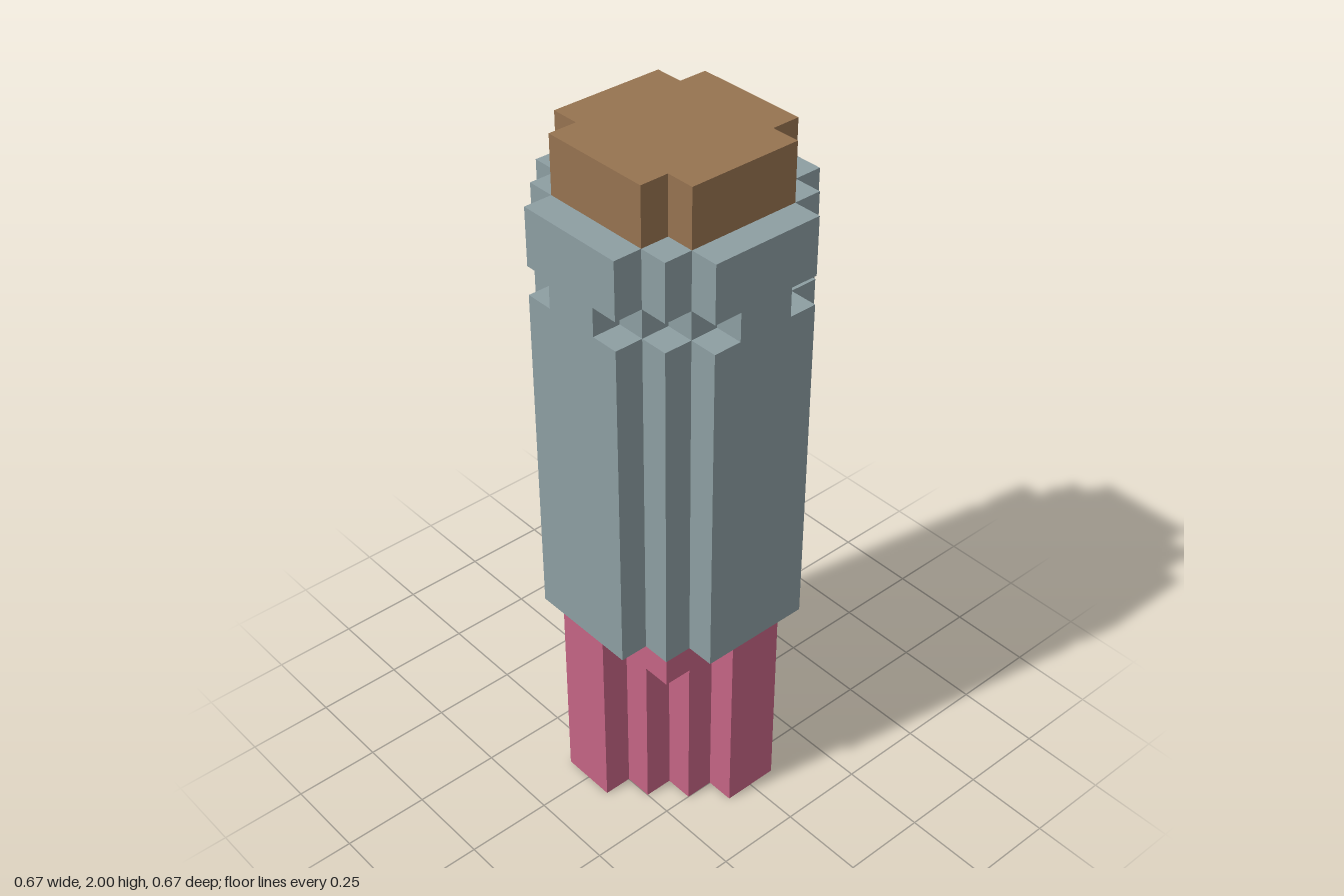
import * as THREE from 'three';

const U = 1 / 12; // one block

// Corner outlines in blocks, from the +x side round to the next side
const PLUS = [[4, 2], [3, 2], [3, 3], [2, 3], [2, 4]];
const STEPPED = [[4, 1], [3, 1], [3, 2], [2, 2], [2, 3], [1, 3], [1, 4]];
const SMALL = [[3, 2], [2, 2], [2, 3]];

// Upright prism: the corner outline repeated by four quarter turns
function prism(name, corner, bottom, top, material) {
  const points = [];
  let quarter = corner;
  for (let i = 0; i < 4; i++) {
    points.push(...quarter.map(([x, y]) => new THREE.Vector2(x * U, y * U)));
    quarter = quarter.map(([x, y]) => [-y, x]);
  }
  const geometry = new THREE.ExtrudeGeometry(new THREE.Shape(points), {
    depth: (top - bottom) * U, bevelEnabled: false,
  });
  geometry.rotateX(-Math.PI / 2);
  geometry.translate(0, bottom * U, 0);
  const mesh = new THREE.Mesh(geometry, material);
  mesh.name = name;
  return mesh;
}

export function createModel() {
  const pink = new THREE.MeshStandardMaterial({ name: 'pink', color: 0xc46484 });
  const grey = new THREE.MeshStandardMaterial({ name: 'blueGrey', color: 0x8d9ea2 });
  const brown = new THREE.MeshStandardMaterial({ name: 'brown', color: 0x967350 });

  const model = new THREE.Group();
  model.name = 'blockCylinder';
  model.add(
    prism('base', STEPPED, 0, 7, pink),
    prism('lowerSleeve', PLUS, 7, 19, grey),
    prism('grooveCore', STEPPED, 19, 20, grey),
    prism('upperSleeve', PLUS, 20, 22, grey),
    prism('cap', SMALL, 22, 24, brown),
  );

  // Single blocks under the sleeve at the two front corners
  for (const side of [-1, 1]) {
    const tab = new THREE.Mesh(new THREE.BoxGeometry(U, U, U), pink);
    tab.name = side > 0 ? 'leftFrontTab' : 'rightFrontTab';
    tab.position.set(side * 2.5 * U, 6.5 * U, 2.5 * U);
    model.add(tab);
  }
  return model;
}
